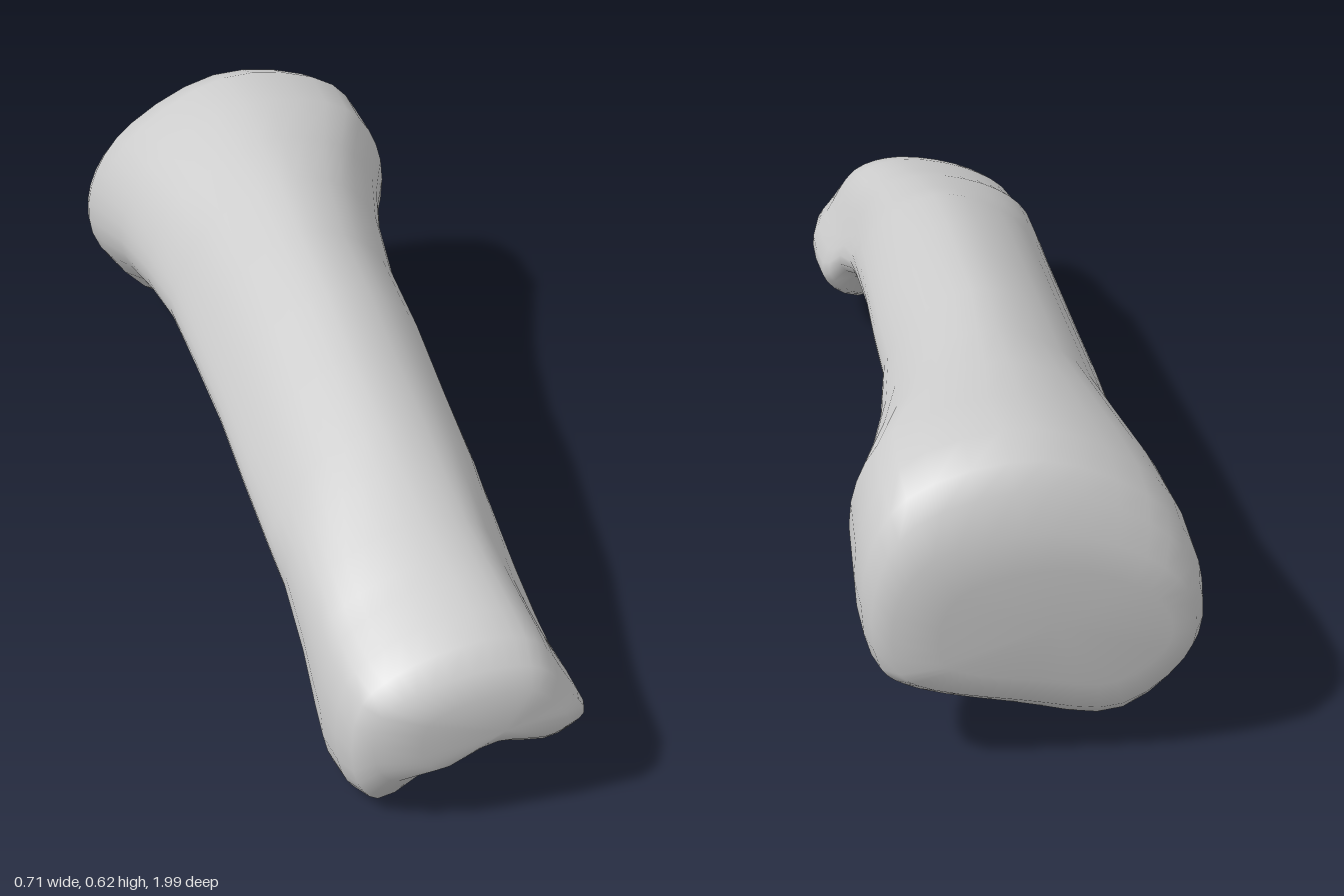
import * as THREE from 'three';

// Unit cross-sections (0..1 across, 0..1 up), anticlockwise from the lower right edge
const HEAD = [[.99, .36], [.9, .65], [.76, .93], [.56, 1], [.22, .9], [.02, .7], [0, .16], [.1, 0], [.48, .27], [.85, .21]];
const SHAFT = [[.99, .38], [1, .57], [.8, .9], [.55, 1], [.25, .8], [.05, .42], [0, .18], [.1, .02], [.44, 0], [.74, .17]];
const BASE = [[.99, .28], [1, .65], [.87, .9], [.5, 1], [.15, .8], [.02, .55], [.03, .28], [.26, .01], [.58, .08], [.9, .19]];

// Extents along the bone: z, left x, right x, bottom y, top y
const ROWS = [
  [.99, -.23, .05, .13, .28],
  [.965, -.31, .09, .1, .32],
  [.92, -.335, .11, .03, .355],
  [.86, -.345, .115, .01, .375],
  [.78, -.345, .115, 0, .395],
  [.72, -.34, .11, .04, .41],
  [.64, -.335, .1, .12, .435],
  [.5, -.325, .1, .19, .47],
  [.4, -.32, .105, .205, .5],
  [.2, -.305, .12, .235, .53],
  [0, -.285, .145, .255, .56],
  [-.2, -.27, .165, .265, .58],
  [-.4, -.255, .21, .25, .595],
  [-.55, -.26, .26, .21, .605],
  [-.7, -.27, .325, .15, .615],
  [-.83, -.28, .34, .08, .617],
  [-.9, -.28, .34, .065, .59],
  [-.94, -.27, .33, .07, .55],
  [-.97, -.25, .3, .1, .48],
  [-.985, -.2, .22, .16, .41],
];
const SEGMENTS = 36;

// Smooth closed outline, blended between shaft and end shapes
function outline(z) {
  const end = z > 0 ? HEAD : BASE;
  const w = THREE.MathUtils.smoothstep(Math.abs(z), .25, .8);
  const pts = SHAFT.map(([u, v], i) => new THREE.Vector3(
    THREE.MathUtils.lerp(u, end[i][0], w), THREE.MathUtils.lerp(v, end[i][1], w), 0));
  const curve = new THREE.CatmullRomCurve3(pts, true, 'centripetal');
  return Array.from({ length: SEGMENTS }, (_, j) => curve.getPoint(j / SEGMENTS));
}

function boneGeometry() {
  const pos = [], index = [];
  // Ends are slightly skewed across the width
  const push = (x, y, z) => pos.push(x, y, z + .08 * x * z * z);
  for (const [z, x0, x1, y0, y1] of ROWS)
    for (const p of outline(z)) push(x0 + p.x * (x1 - x0), y0 + p.y * (y1 - y0), z);

  // Skin between neighbouring rings
  for (let i = 0; i < ROWS.length - 1; i++)
    for (let j = 0; j < SEGMENTS; j++) {
      const a = i * SEGMENTS + j, b = i * SEGMENTS + (j + 1) % SEGMENTS;
      const c = a + SEGMENTS, d = b + SEGMENTS;
      index.push(a, c, b, b, c, d);
    }

  // End caps
  const last = (ROWS.length - 1) * SEGMENTS, front = ROWS.length * SEGMENTS;
  push(-.08, .2, 1);
  push(.01, .29, -.98);
  for (let j = 0; j < SEGMENTS; j++) {
    const k = (j + 1) % SEGMENTS;
    index.push(front, j, k, front + 1, last + k, last + j);
  }

  const geo = new THREE.BufferGeometry();
  geo.setAttribute('position', new THREE.Float32BufferAttribute(pos, 3));
  geo.setIndex(index);
  geo.computeVertexNormals();
  return geo;
}

export function createModel() {
  const group = new THREE.Group();
  group.name = 'fingerBone';
  const bone = new THREE.Mesh(boneGeometry(), new THREE.MeshStandardMaterial({ color: 0xcccccc }));
  bone.name = 'boneBody';
  group.add(bone);
  return group;
}
